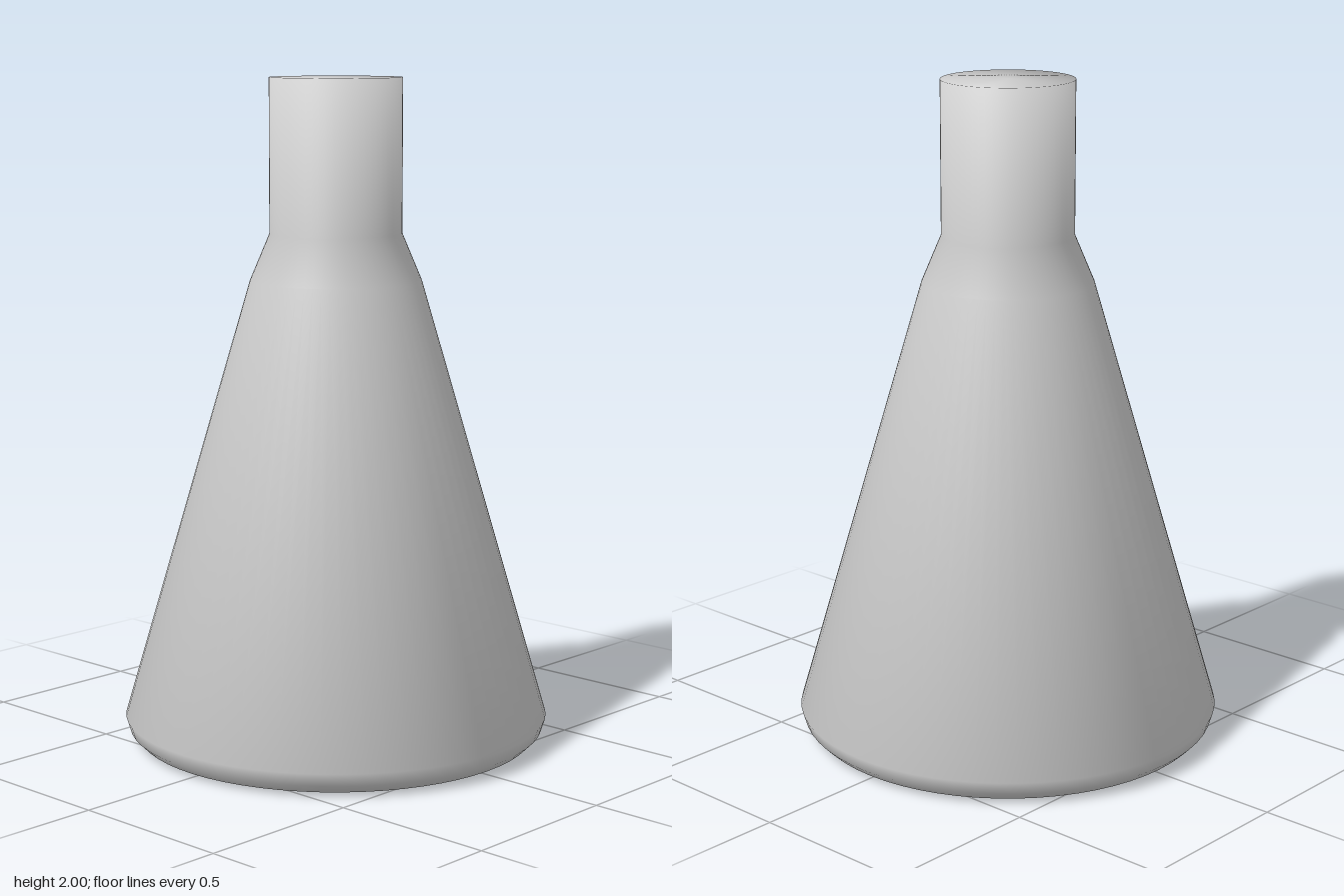
import * as THREE from 'three';

const SEGMENTS = 64;

// Lathe whose normals average the two neighbouring profile edges equally
function smoothLathe(points) {
  const geometry = new THREE.LatheGeometry(points, SEGMENTS);
  const edges = points.slice(1).map((p, j) => {
    const d = p.clone().sub(points[j]).normalize();
    return new THREE.Vector2(d.y, -d.x);
  });
  const normals = points.map((_, j) => {
    const before = edges[Math.max(j - 1, 0)];
    const after = edges[Math.min(j, edges.length - 1)];
    return before.clone().add(after).normalize();
  });
  const attribute = geometry.attributes.normal;
  for (let i = 0; i <= SEGMENTS; i++) {
    const angle = (i / SEGMENTS) * Math.PI * 2;
    normals.forEach((n, j) => {
      attribute.setXYZ(i * points.length + j, n.x * Math.sin(angle), n.y, n.x * Math.cos(angle));
    });
  }
  return geometry;
}

export function createModel() {
  const group = new THREE.Group();
  group.name = 'conicalFlask';

  const grey = new THREE.MeshStandardMaterial({ color: 0xcccccc });
  grey.name = 'lightGrey';

  // Flat base, rounded foot, cone, shoulder, straight neck and closed top
  const profile = [
    [0, 0], [0.565, 0], [0.605, 0.01], [0.631, 0.036], [0.643, 0.075],
    [0.257, 1.4], [0.198, 1.54], [0.198, 2], [0, 2],
  ].map(([r, y]) => new THREE.Vector2(r, y));

  const flask = new THREE.Mesh(smoothLathe(profile), grey);
  flask.name = 'flaskBody';
  group.add(flask);

  return group;
}
